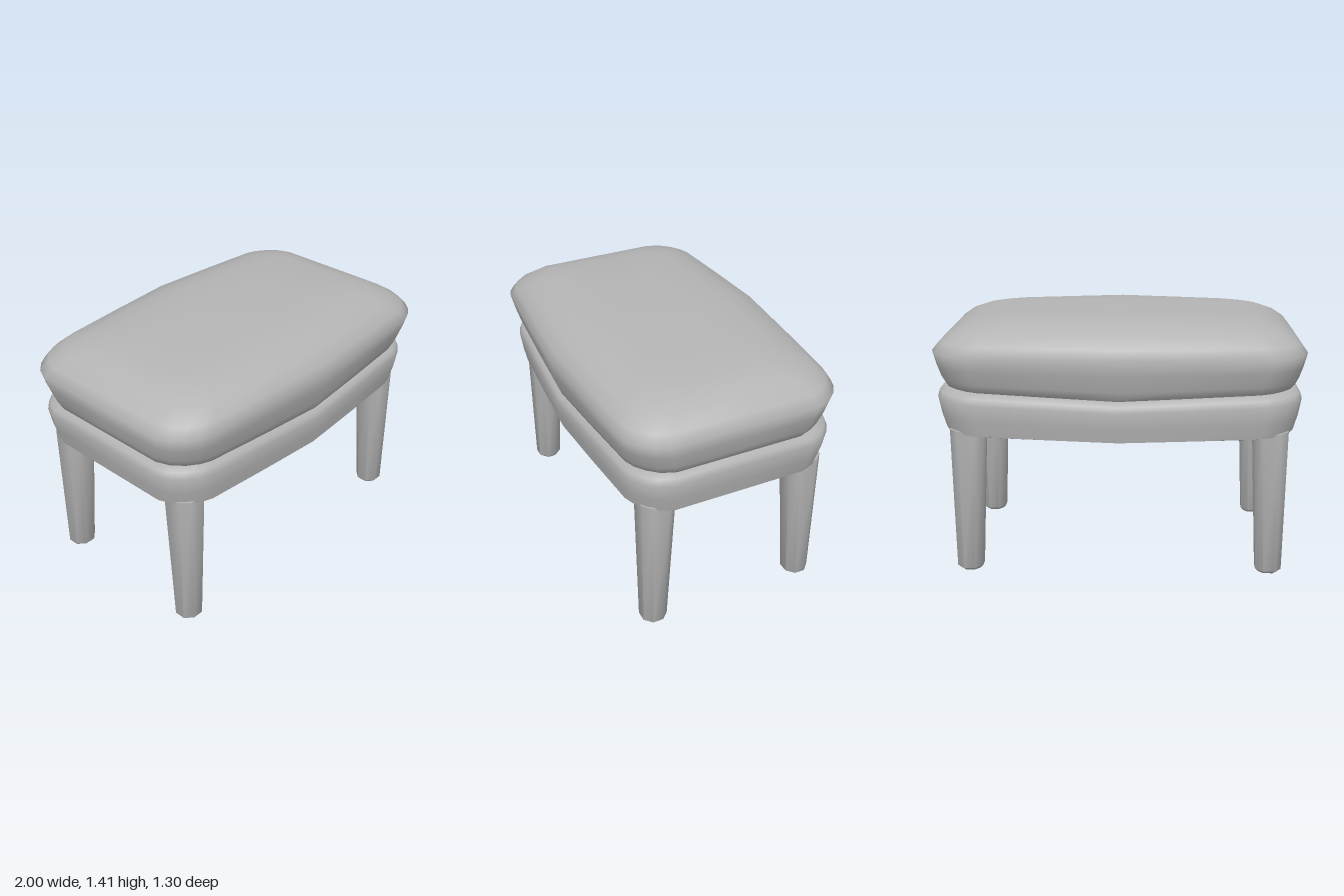
import * as THREE from 'three';
import { toCreasedNormals } from 'three/addons/utils/BufferGeometryUtils.js';

// Skin a stack of equal-length point rings, closed with a fan at both ends.
function loft(rings, bottom, top, crease) {
  const n = rings[0].length;
  const pos = rings.flat(2);
  const index = [];
  const b = rings.length * n, t = b + 1, last = (rings.length - 1) * n;
  pos.push(...bottom, ...top);
  for (let i = 0; i < n; i++) {
    const j = (i + 1) % n;
    for (let r = 0; r < rings.length - 1; r++) {
      const o = r * n, u = o + n;
      index.push(o + i, u + i, o + j, o + j, u + i, u + j);
    }
    index.push(i, j, b, last + i, t, last + j);
  }
  const geo = new THREE.BufferGeometry();
  geo.setAttribute('position', new THREE.Float32BufferAttribute(pos, 3));
  geo.setIndex(index);
  return toCreasedNormals(geo, crease);
}

// Rounded rectangle with bowed front and back; y drops by sag at the middle.
function seatRing([a, b, y, k = 1, sag = 0, dz = 0]) {
  const bow = 0.05 * k;
  const quarter = [
    [a, 0], [a, b - 0.24 * k], [a - 0.03 * k, b - 0.165 * k],
    [a - 0.08 * k, b - 0.11 * k], [a - 0.14 * k, b - 0.07 * k], [a - 0.2 * k, b - bow],
    [(a - 0.2 * k) / 2, b - bow * 0.45],
  ];
  const back = (list) => list.slice().reverse();
  const pts = [
    ...quarter, [0, b],
    ...back(quarter).map(([x, z]) => [-x, z]),
    ...quarter.slice(1).map(([x, z]) => [-x, -z]), [0, -b],
    ...back(quarter.slice(1)).map(([x, z]) => [x, -z]),
  ];
  return pts.map(([x, z]) => [x, y - sag * (1 - Math.abs(x) / a), z + dz]);
}

// Chamfered rectangle for a leg section.
function legRing(x0, x1, z0, z1, c, y) {
  return [
    [x1, y, z0 + c], [x1, y, z1 - c], [x1 - c, y, z1], [x0 + c, y, z1],
    [x0, y, z1 - c], [x0, y, z0 + c], [x0 + c, y, z0], [x1 - c, y, z0],
  ];
}

export function createModel() {
  const group = new THREE.Group();
  const grey = new THREE.MeshStandardMaterial({ color: 0xb4b4b4 });
  grey.name = 'grey';
  const add = (name, geo) => {
    const mesh = new THREE.Mesh(geo, grey);
    mesh.name = name;
    group.add(mesh);
  };

  // Upholstered base: [half width, half depth, y, corner scale, sag, z shift]
  add('seatBase', loft([
    [0.91, 0.575, 0.79, 1, 0.01, -0.015],
    [0.945, 0.61, 0.805, 1, 0.015, -0.015],
    [0.965, 0.625, 0.89, 1, 0.02, -0.015],
    [0.98, 0.635, 0.985, 1, 0.03, -0.015],
    [0.97, 0.625, 1.02, 1, 0.035, -0.015],
    [0.945, 0.595, 1.04, 1, 0.035, -0.01],
    [0.88, 0.53, 1.04, 1, 0.035, -0.01],
  ].map(seatRing), [0, 0.78, 0], [0, 1.005, 0], 0.9));

  // Domed cushion
  add('cushion', loft([
    [0.88, 0.53, 1.03, 1, 0.03],
    [0.945, 0.59, 1.04, 1, 0.035],
    [0.965, 0.61, 1.085, 1, 0.03],
    [0.985, 0.632, 1.16, 1, 0.015],
    [1.0, 0.65, 1.235, 1],
    [0.96, 0.625, 1.285, 1],
    [0.89, 0.57, 1.335, 0.97, -0.01],
    [0.81, 0.47, 1.37, 0.85, -0.012],
    [0.72, 0.37, 1.39, 0.7, -0.015],
    [0.4, 0.2, 1.403, 0.4, -0.007],
  ].map(seatRing), [0, 1.0, 0], [0, 1.412, 0], 1.1));

  // Tapered legs: straight outer faces, inner faces narrowing to the floor
  for (const sx of [1, -1]) {
    for (const sz of [1, -1]) {
      const zOut = sz > 0 ? 0.505 : 0.54;
      const section = (inX, outX, inZ, outZ, c, y) => {
        const xs = [sx * inX, sx * outX].sort((p, q) => p - q);
        const zs = [sz * inZ, sz * outZ].sort((p, q) => p - q);
        return legRing(xs[0], xs[1], zs[0], zs[1], c, y);
      };
      const rings = [
        section(0.78, 0.88, zOut - 0.115, zOut - 0.03, 0.025, 0),
        section(0.76, 0.902, zOut - 0.143, zOut - 0.004, 0.04, 0.022),
        section(0.722, 0.908, zOut - 0.19, zOut, 0.045, 0.82),
      ];
      const cx = sx * 0.825, cz = sz * (zOut - 0.08);
      const name = (sz > 0 ? 'front' : 'back') + (sx > 0 ? 'Left' : 'Right') + 'Leg';
      add(name, loft(rings, [cx, 0, cz], [cx, 0.82, cz], 0.9));
    }
  }
  return group;
}
